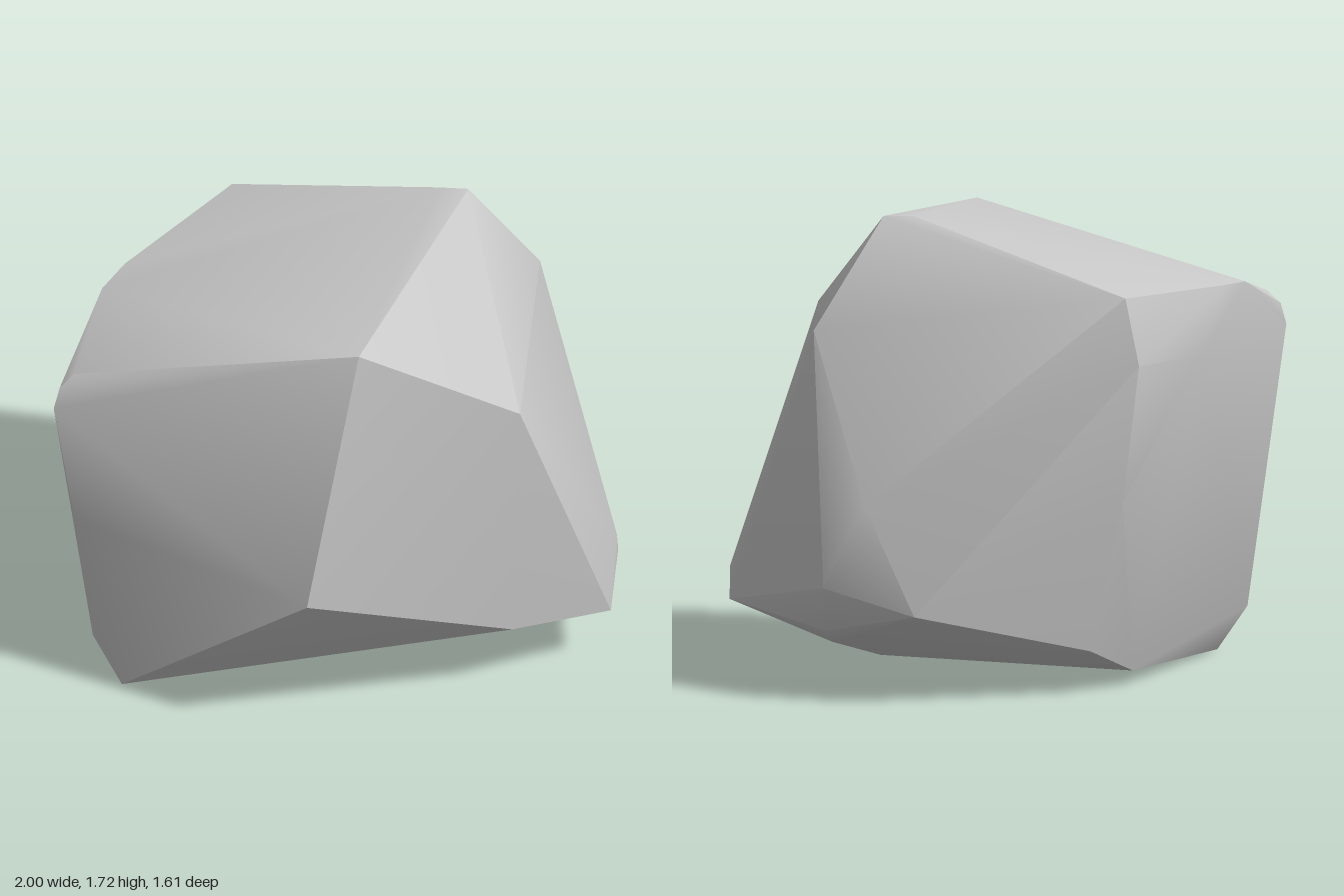
import * as THREE from 'three';
import { ConvexGeometry } from 'three/addons/geometries/ConvexGeometry.js';
import { toCreasedNormals } from 'three/addons/utils/BufferGeometryUtils.js';

// Corners of the boulder, grouped by region
const crown = [
  [0.12, 1.63, 0.58], [0.44, 1.72, -0.34], [0.33, 1.72, -0.34],
  [0.69, 1.28, 0.41], [0.69, 1.32, -0.46], [-0.44, 1.47, -0.63],
  [-0.86, 1.43, -0.02], [-0.79, 1.44, -0.16],
  [-0.93, 1.33, 0.37], [-0.98, 1.28, 0.39],
];
const sides = [
  [-0.05, 0.65, 0.80], [-1, 1.2, 0.41], [-0.92, 0.74, 0.46],
  [-0.49, 1.23, -0.68], [-0.59, 1.2, -0.53], [-0.71, 1.22, -0.37],
  [-0.43, 0.72, -0.61], [0.50, 0.72, -0.74], [0.65, 0.42, -0.72],
  [1, 0.39, -0.08], [1, 0.28, -0.14], [1, 0.24, 0.18],
];
const base = [
  [-0.75, 0, 0.45], [-0.86, 0.17, 0.39], [0.66, 0.29, 0.39],
  [0.45, 0.12, -0.39], [-0.46, 0.05, -0.30], [-0.31, 0.16, -0.53],
  [0.64, 0.25, -0.64], [0.62, 0.20, -0.58], [0.32, 0.33, -0.81],
];

export function createModel() {
  const stone = new THREE.MeshStandardMaterial({ color: 0xc8c8c8 });
  stone.name = 'pale grey stone';

  // Convex rock, smooth over gentle bends and sharp along strong ridges
  const corners = [...crown, ...sides, ...base].map((p) => new THREE.Vector3(...p));
  const geometry = toCreasedNormals(new ConvexGeometry(corners), 0.6);

  const boulder = new THREE.Mesh(geometry, stone);
  boulder.name = 'boulder';

  const group = new THREE.Group();
  group.name = 'rock';
  group.add(boulder);
  return group;
}
